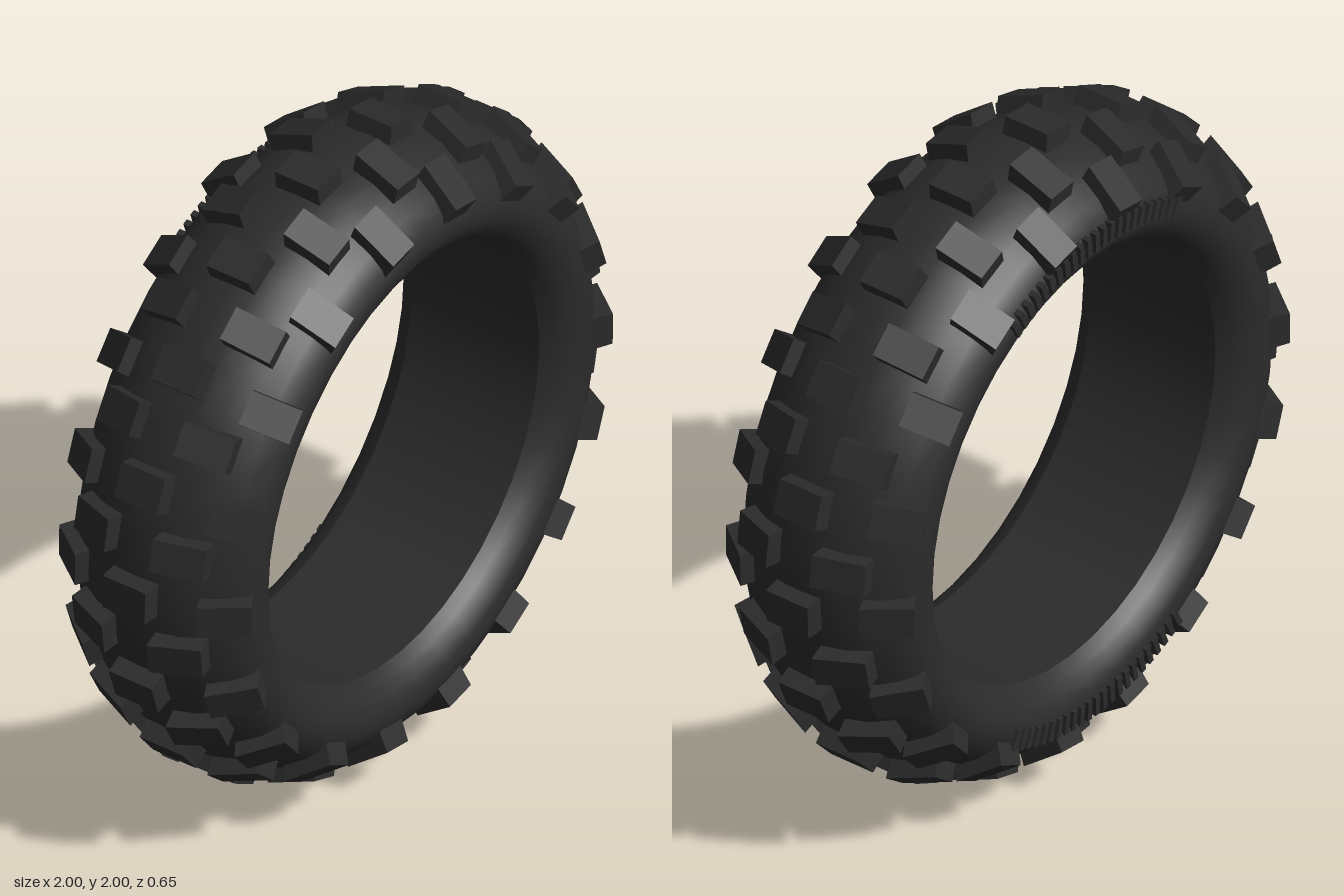
import * as THREE from 'three';

export function createModel() {
  const rubber = new THREE.MeshStandardMaterial({ color: 0x2b2b2b });
  rubber.name = 'darkRubber';

  const tyre = new THREE.Group();
  tyre.name = 'tyre';
  tyre.position.y = 1;

  const add = (geometry, name, angle = Math.PI / 2) => {
    const mesh = new THREE.Mesh(geometry, rubber);
    mesh.name = name;
    mesh.rotation.z = angle - Math.PI / 2;
    tyre.add(mesh);
    return mesh;
  };

  // Surface of revolution about the z axis from [radius, z] pairs
  const revolve = (profile) =>
    new THREE.LatheGeometry(profile.map(([r, z]) => new THREE.Vector2(r, z)), 40).rotateX(Math.PI / 2);

  // Carcass: rounded crown, sidewalls and beads
  const half = [
    [0.95, 0], [0.946, 0.07], [0.927, 0.14], [0.895, 0.2], [0.86, 0.25], [0.82, 0.285],
    [0.775, 0.3], [0.735, 0.295], [0.7, 0.275], [0.675, 0.25], [0.655, 0.215],
  ];
  const back = half.slice(1).reverse().map(([r, z]) => [r, -z]);
  add(revolve([...back, ...half]), 'carcass');

  // Inner wall, facing the hub
  add(revolve([[0.655, 0.215], [0.655, -0.215]]), 'innerWall');

  // Tread block: a box whose axial ends follow [z, radius] points on top and base
  const blockGeometry = (side, width, inTop, outTop, inBase, outBase) => {
    const geometry = new THREE.BoxGeometry(1, 1, 1);
    const p = geometry.attributes.position;
    for (let i = 0; i < p.count; i++) {
      const outer = p.getZ(i) * side > 0;
      const top = p.getY(i) > 0;
      const [z, r] = top ? (outer ? outTop : inTop) : (outer ? outBase : inBase);
      p.setXYZ(i, p.getX(i) * width * (top ? 1 : 1.06), r, z * side);
    }
    geometry.computeVertexNormals();
    return geometry;
  };

  const centre = blockGeometry(1, 0.104, [-0.072, 0.998], [0.072, 0.998], [-0.076, 0.92], [0.076, 0.92]);
  const rows = [1, -1].map((side) => ({
    shoulder: blockGeometry(side, 0.1, [0.075, 0.998], [0.217, 0.94], [0.065, 0.92], [0.2, 0.86]),
    edge: blockGeometry(side, 0.1, [0.205, 0.94], [0.325, 0.848], [0.175, 0.87], [0.292, 0.79]),
  }));

  // Eighteen repeats of the tread pattern
  const deg = Math.PI / 180;
  for (let i = 0; i < 18; i++) {
    const a = i * 20;
    add(centre, 'centreBlock', (a - 2.3) * deg);
    for (const row of rows) {
      add(row.shoulder, 'shoulderBlock', (a + 7.7) * deg);
      add(row.edge, 'edgeBlock', (a - 1) * deg);
    }
  }

  // Two arcs of fine radial ribs on the back sidewall
  const rib = new THREE.BoxGeometry(0.018, 0.06, 0.03).translate(0, 0.782, -0.295);
  for (const middle of [90, 270]) {
    for (let i = 0; i < 23; i++) add(rib, 'sidewallRib', (middle + (i - 11) * 2.5) * deg);
  }

  const model = new THREE.Group();
  model.name = 'knobblyTyre';
  model.add(tyre);
  return model;
}
